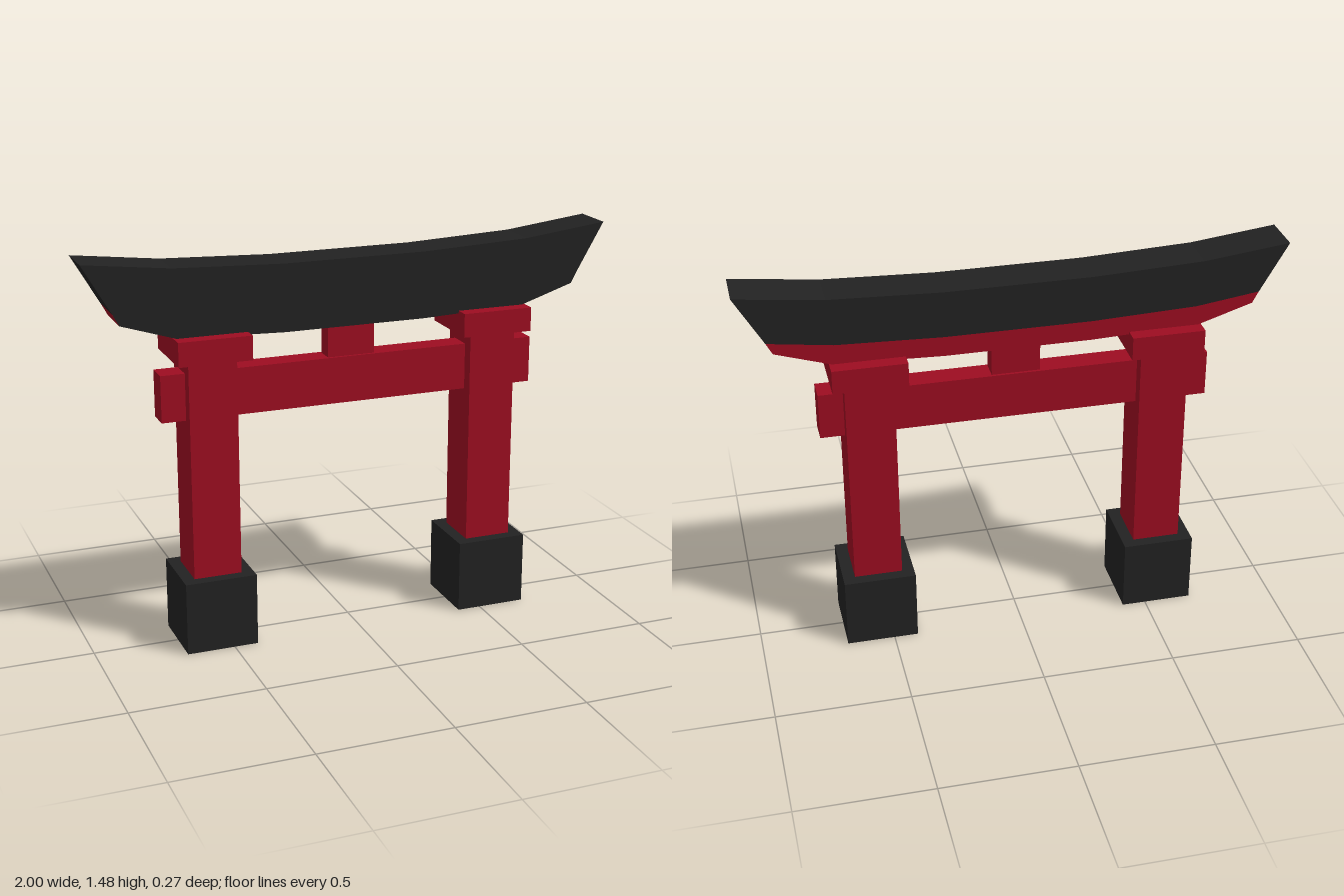
import * as THREE from 'three';

export function createModel() {
  const red = new THREE.MeshStandardMaterial({ name: 'red lacquer', color: 0x9d0d21 });
  const black = new THREE.MeshStandardMaterial({ name: 'black', color: 0x222222 });
  const model = new THREE.Group();
  model.name = 'gate';

  const add = (parent, name, geometry, material) => {
    const mesh = new THREE.Mesh(geometry, material);
    mesh.name = name;
    parent.add(mesh);
    return mesh;
  };
  // Box given by width, depth and its bottom and top heights
  const box = (parent, name, material, w, d, y0, y1, x = 0) =>
    add(parent, name, new THREE.BoxGeometry(w, y1 - y0, d), material).position.set(x, (y0 + y1) / 2, 0);

  // Pillars with footing and capital
  for (const side of [-1, 1]) {
    const pillar = new THREE.Group();
    pillar.name = side > 0 ? 'leftPillar' : 'rightPillar';
    model.add(pillar);
    const x = side * 0.545;
    box(pillar, 'footing', black, 0.27, 0.27, 0, 0.275, x);
    box(pillar, 'post', red, 0.18, 0.184, 0.275, 1.095, x);
    box(pillar, 'capital', red, 0.272, 0.27, 1.095, 1.185, x);
  }

  // Tie beam and the short strut above it
  box(model, 'tieBeam', red, 1.45, 0.09, 0.87, 1.045);
  box(model, 'centreStrut', red, 0.18, 0.07, 1.045, 1.175);

  // Curved lintel: right halves of the edge lines, mirrored to full width
  const topLine = [[0.27, 1.42], [0.68, 1.437], [1, 1.475]];
  const seamLine = [[0.27, 1.245], [0.66, 1.26], [0.895, 1.293]];
  const bottomLine = [[0.27, 1.17], [0.67, 1.185], [0.872, 1.25]];
  const full = (line) => [...line.map(([x, y]) => [-x, y]).reverse(), ...line];
  const band = (lower, upper) =>
    new THREE.Shape([...full(lower), ...full(upper).reverse()].map(([x, y]) => new THREE.Vector2(x, y)));
  const half = 0.082;
  const slab = (shape, depth) =>
    new THREE.ExtrudeGeometry(shape, { depth, bevelEnabled: false }).translate(0, 0, -half);

  const lintel = new THREE.Group();
  lintel.name = 'lintel';
  model.add(lintel);
  add(lintel, 'roofBeam', slab(band(seamLine, topLine), 2 * half), black);
  add(lintel, 'underBeam', slab(band(bottomLine, seamLine), 2 * half - 0.002), red);
  // Black facing over the front of the under beam
  add(lintel, 'frontFacing', new THREE.ShapeGeometry(band(bottomLine, seamLine)), black).position.z = half;

  return model;
}
